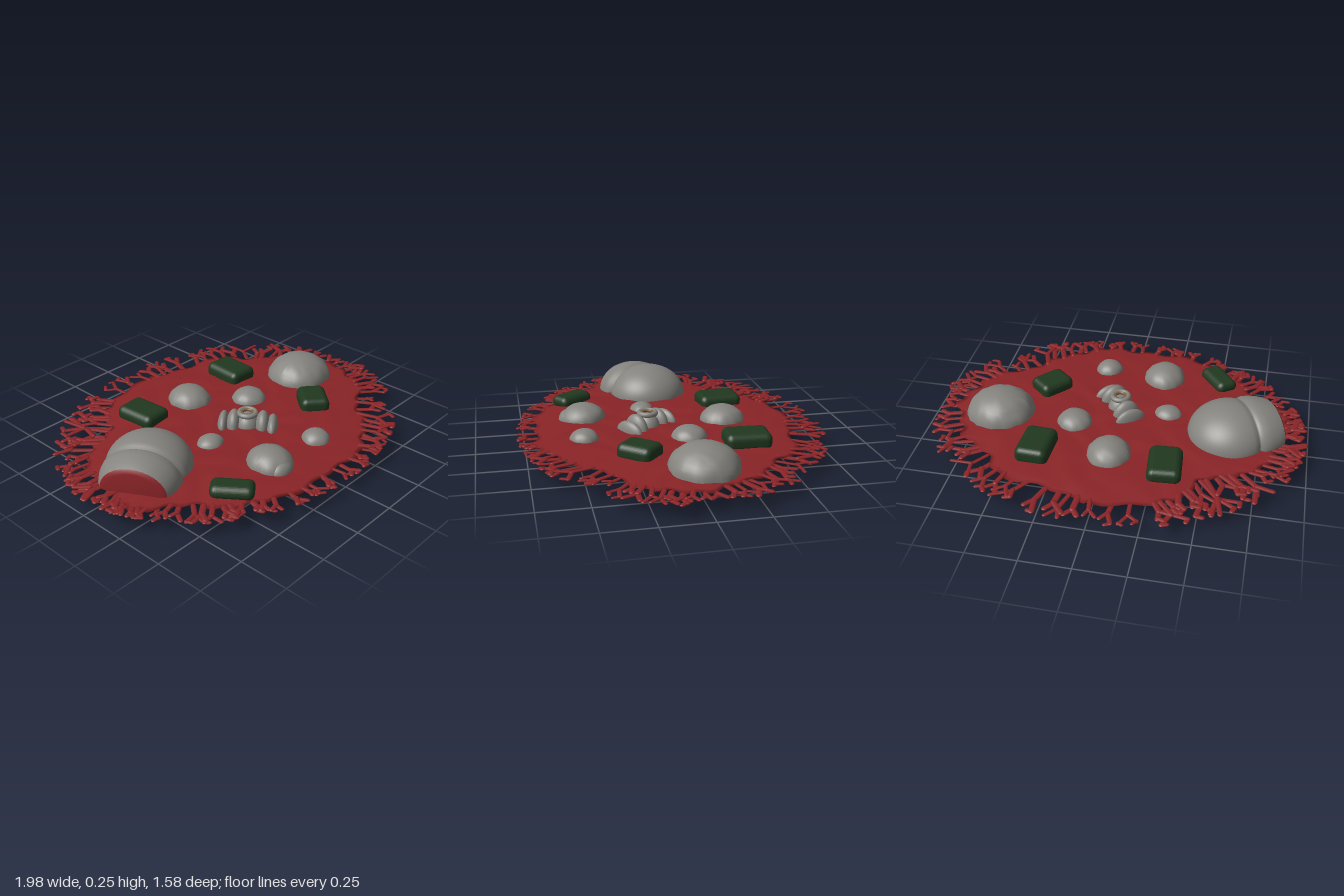
import * as THREE from 'three';
import { mergeGeometries } from 'three/addons/utils/BufferGeometryUtils.js';
import { RoundedBoxGeometry } from 'three/addons/geometries/RoundedBoxGeometry.js';

const mat = (name, color) => {
  const m = new THREE.MeshStandardMaterial({ color, side: THREE.DoubleSide });
  m.name = name;
  return m;
};

// small seeded generator
let seed = 11;
const rnd = () => {
  seed = (seed * 16807) % 2147483647;
  return seed / 2147483647;
};

// edge of the solid part of the puddle, as x, z pairs
const OUTLINE = [
  0, -0.64, -0.3, -0.61, -0.42, -0.52, -0.5, -0.4, -0.62, -0.33, -0.77, -0.27, -0.84, -0.12,
  -0.83, 0, -0.9, 0.12, -0.9, 0.22, -0.77, 0.31, -0.66, 0.44, -0.55, 0.55, -0.4, 0.64,
  -0.15, 0.69, 0.1, 0.7, 0.27, 0.66, 0.42, 0.56, 0.55, 0.43, 0.72, 0.32, 0.82, 0.2,
  0.86, 0.05, 0.83, -0.12, 0.74, -0.27, 0.6, -0.4, 0.47, -0.53, 0.22, -0.6,
];

const bump = (x, z) =>
  Math.sin(x * 23 + Math.sin(z * 17)) * Math.sin(z * 21 + Math.cos(x * 13));

// move every vertex by a rule
function warp(geo, rule) {
  const p = geo.attributes.position;
  const v = new THREE.Vector3();
  for (let i = 0; i < p.count; i++) {
    rule(v.fromBufferAttribute(p, i));
    p.setXYZ(i, v.x, v.y, v.z);
  }
  geo.computeVertexNormals();
  return geo;
}

// closed lumpy sheet: loops run out over the top and back in underneath
function sheetGeometry(curve) {
  const N = 240, M = 26, pos = [], idx = [];
  for (let i = 0; i <= 2 * M; i++) {
    const top = i <= M;
    const s = top ? i / M : (2 * M - i) / M;
    for (let j = 0; j < N; j++) {
      const p = curve.getPoint(j / N);
      const jag = 1 + 0.018 * s ** 8 * (Math.sin(j * 0.9) + Math.sin(j * 0.37 + 1));
      const x = p.x * s * jag, z = p.z * s * jag;
      const body = 1 - s ** 5;
      const y = top
        ? 0.082 + body * (0.017 + 0.004 * bump(x, z))
        : 0.08 - body * (0.01 + 0.005 * bump(x * 1.7, z * 1.7));
      pos.push(x, y, z);
    }
  }
  for (let i = 0; i < 2 * M; i++) {
    for (let j = 0; j < N; j++) {
      const k = (j + 1) % N;
      const a = i * N + j, b = a + N, c = (i + 1) * N + k, d = i * N + k;
      idx.push(a, b, c, a, c, d);
    }
  }
  const g = new THREE.BufferGeometry();
  g.setAttribute('position', new THREE.Float32BufferAttribute(pos, 3));
  g.setIndex(idx);
  g.computeVertexNormals();
  return g;
}

// flattened drop running from a to b
function drop(a, b, r) {
  const d = b.clone().sub(a);
  const g = new THREE.CapsuleGeometry(r, d.length(), 3, 8);
  g.rotateX(Math.PI / 2);
  g.scale(1, 0.4, 1);
  g.rotateY(Math.atan2(d.x, d.y));
  const mid = a.clone().add(b).multiplyScalar(0.5);
  g.translate(mid.x, 0.08 + (rnd() - 0.5) * 0.008, mid.y);
  return g;
}

// forked tendrils round the edge, kept inside an outer ellipse
function fringeGeometry(curve) {
  const parts = [], count = 92;
  const step = (p, ang, len) => {
    const q = new THREE.Vector2(p.x + Math.cos(ang) * len, p.y + Math.sin(ang) * len);
    const e = Math.hypot(q.x / 0.982, q.y / 0.782);
    return e > 1 ? q.divideScalar(e) : q;
  };
  for (let i = 0; i < count; i++) {
    const c = curve.getPoint((i + rnd() * 0.6) / count);
    const root = new THREE.Vector2(c.x, c.z).multiplyScalar(0.98);
    const gap = root.length() * (1 / Math.hypot(root.x, root.y / 0.8) - 1);
    const len = gap * (0.45 + 0.6 * rnd());
    const ang = Math.atan2(root.y / 0.65, root.x) + (rnd() - 0.5) * 0.7;
    const r = 0.011 + 0.006 * rnd();
    const mid = step(root, ang, len * 0.55);
    parts.push(drop(root, mid, r));
    for (const side of [-1, 1]) {
      const tip = step(mid, ang + side * (0.35 + 0.6 * rnd()), len * (0.3 + 0.3 * rnd()));
      parts.push(drop(mid, tip, r * 0.9));
      if (rnd() > 0.5) parts.push(drop(tip, step(tip, ang - side * 0.7, 0.03), r * 0.85));
    }
  }
  return mergeGeometries(parts);
}

export function createModel() {
  const model = new THREE.Group();
  const red = mat('sauce red', 0x8a2427);
  const grey = mat('stone grey', 0x84837e);
  const green = mat('dark green', 0x20381f);
  const tan = mat('tan', 0x80603f);
  const olive = mat('dull olive', 0x45402c);
  const add = (name, geo, material, x = 0, y = 0, z = 0) => {
    const m = new THREE.Mesh(geo, material);
    m.name = name;
    m.position.set(x, y, z);
    model.add(m);
    return m;
  };

  // puddle
  const pts = [];
  for (let i = 0; i < OUTLINE.length; i += 2) pts.push(new THREE.Vector3(OUTLINE[i], 0, OUTLINE[i + 1]));
  const curve = new THREE.CatmullRomCurve3(pts, true);
  add('sheet', sheetGeometry(curve), red);
  add('fringe', fringeGeometry(curve), red);

  // domes: x, z, radius x, radius z, height; each with a dull patch underneath
  const domes = [
    [0.615, -0.04, 0.18, 0.172, 0.13],
    [-0.02, -0.29, 0.113, 0.12, 0.09],
    [0.21, -0.06, 0.093, 0.093, 0.07],
    [-0.26, 0.1, 0.074, 0.066, 0.052],
    [-0.19, 0.43, 0.113, 0.12, 0.09],
    [0.13, 0.46, 0.074, 0.074, 0.06],
  ];
  for (const [x, z, rx, rz, h] of domes) {
    const g = new THREE.SphereGeometry(1, 36, 12, 0, Math.PI * 2, 0, Math.PI / 2);
    g.scale(rx, h, rz);
    warp(g, (v) => {
      const k = 1 + 0.03 * bump(v.x * 3 + x, v.z * 3 + z);
      v.x *= k;
      v.z *= k;
    });
    add('dome', g, grey, x, 0.085, z);
    const patch = new THREE.SphereGeometry(1, 16, 8);
    patch.scale(rx * 0.55, 0.004, rz * 0.4);
    add('undersidePatch', patch, olive, x, 0.067, z);
  }
  // lip on the front dome
  const lip = new THREE.SphereGeometry(1, 20, 8, 0, Math.PI * 2, 0, Math.PI / 2);
  lip.scale(0.07, 0.055, 0.05);
  add('domeLip', lip, grey, -0.2, 0.085, 0.51);

  // blocks: x, z, width, depth, top, turn
  const blocks = [
    [-0.31, -0.34, 0.17, 0.23, 0.16, 0.08],
    [0.345, -0.32, 0.17, 0.23, 0.168, -0.05],
    [0.405, 0.225, 0.155, 0.19, 0.165, -0.72],
    [-0.49, 0.46, 0.12, 0.21, 0.145, 0.65],
  ];
  for (const [x, z, w, d, top, turn] of blocks) {
    const h = top - 0.072;
    const g = new RoundedBoxGeometry(w, h, d, 4, 0.032);
    warp(g, (v) => {
      v.y -= v.y > 0 ? 0.14 * Math.abs(v.x) : 0;
    });
    add('block', g, green, x, 0.072 + h / 2, z).rotation.y = turn;
  }

  // big capped dome lying on its side, flattened at the base
  const axis = new THREE.Vector3(-0.88, 0, 0.48).normalize();
  const lay = new THREE.Quaternion().setFromUnitVectors(new THREE.Vector3(0, 1, 0), axis);
  const profile = [];
  for (let i = 0; i <= 16; i++) {
    const a = (i / 16) * 1.95;
    profile.push(new THREE.Vector2(0.215 * Math.sin(a), -0.084 - 0.215 * Math.cos(a)));
  }
  for (const [r, t] of [[0.184, 0.004], [0.19, 0.012], [0.204, 0.03], [0.2, 0.07], [0.185, 0.12], [0.165, 0.155]])
    profile.push(new THREE.Vector2(r, t));
  const layDown = (g) => warp(g.applyQuaternion(lay), (v) => {
    v.y = Math.max(v.y, 0) * 0.77;
  });
  add('largeDome', layDown(new THREE.LatheGeometry(profile, 56)), grey, -0.665, 0.085, 0.05);
  const cap = [[0.165, 0.155], [0.14, 0.168], [0.0, 0.172]].map(([r, t]) => new THREE.Vector2(r, t));
  add('largeDomeEnd', layDown(new THREE.LatheGeometry(cap, 40)), red, -0.665, 0.085, 0.05);

  // part of the big dome that hangs below the sheet
  const belly = warp(new THREE.SphereGeometry(1, 32, 16), (v) => {
    v.set(v.x * 0.135, Math.max(v.y * 0.085, -0.07), v.z * 0.16);
  });
  add('largeDomeBelly', belly, grey, -0.635, 0.071, 0.04);
  const rim = new THREE.TorusGeometry(0.125, 0.012, 8, 36);
  rim.rotateX(Math.PI / 2);
  rim.scale(1, 0.8, 1.2);
  add('bellyRim', rim, tan, -0.635, 0.04, 0.04);
  add('spike', new THREE.ConeGeometry(0.014, 0.075, 8).rotateX(Math.PI), red, -0.455, 0.048, -0.1);

  // ribbed pile in the middle, long axis running back to front on the diagonal
  const pile = new THREE.Group();
  pile.name = 'ribbedPile';
  pile.position.set(0.0, 0.085, 0.115);
  pile.rotation.y = 0.62;
  model.add(pile);
  // ribs: position along the pile, half width, height, half length
  const ribs = [
    [-0.125, 0.085, 0.07, 0.03],
    [-0.07, 0.075, 0.088, 0.04],
    [0.0, 0.068, 0.078, 0.062],
    [0.08, 0.075, 0.09, 0.04],
    [0.13, 0.088, 0.065, 0.032],
  ];
  for (const [t, w, h, l] of ribs) {
    const g = new THREE.SphereGeometry(1, 24, 10, 0, Math.PI * 2, 0, Math.PI / 2);
    g.scale(w, h, l);
    const m = new THREE.Mesh(g, grey);
    m.name = 'rib';
    m.position.z = t;
    pile.add(m);
  }
  // raised ring with a tan inner edge
  for (const [name, r, tube, y, m] of [['ring', 0.042, 0.014, 0.078, grey], ['ringInner', 0.029, 0.008, 0.08, tan]]) {
    const ring = new THREE.Mesh(new THREE.TorusGeometry(r, tube, 8, 28).rotateX(Math.PI / 2), m);
    ring.name = name;
    ring.position.y = y;
    pile.add(ring);
  }
  const patch = new THREE.SphereGeometry(1, 16, 8);
  patch.scale(0.05, 0.004, 0.12);
  add('undersidePatch', patch, olive, 0, 0.067, 0.115).rotation.y = 0.62;

  return model;
}
